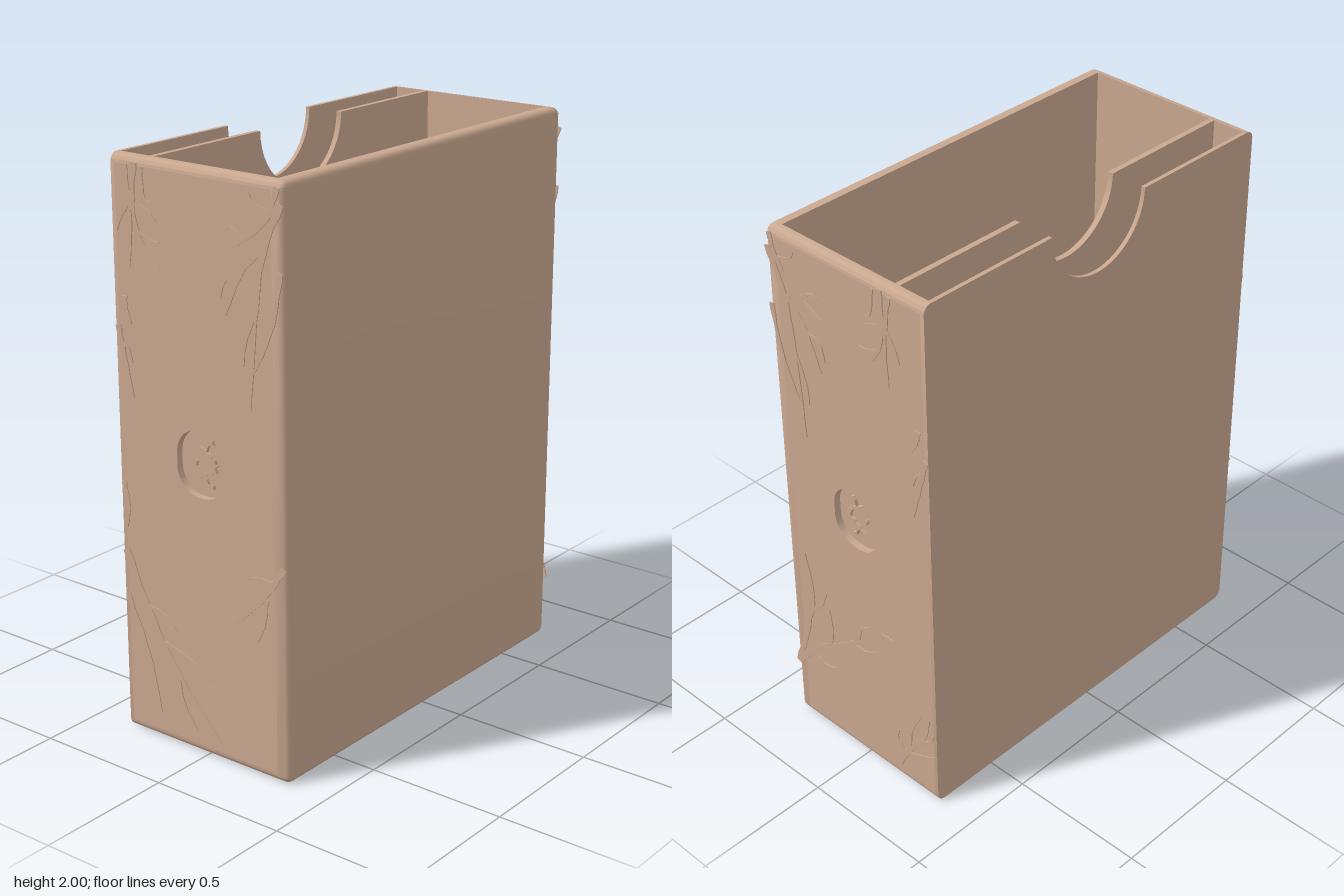
import * as THREE from 'three';
import { mergeGeometries, toCreasedNormals } from 'three/addons/utils/BufferGeometryUtils.js';

const W = 0.76, H = 2, ZF = 0.35, ZB = -0.35;   // outer half width, height, front, back
const IX = 0.725, FLOOR = 0.035, R = 0.03;      // inner half width, floor thickness, edge radius
const NOTCH = 0.215;                            // thumb notch radius

function roundedRect(x0, y0, x1, y1, r, path = new THREE.Shape()) {
  path.moveTo(x0 + r, y0);
  path.lineTo(x1 - r, y0).absarc(x1 - r, y0 + r, r, -Math.PI / 2, 0, false);
  path.lineTo(x1, y1 - r).absarc(x1 - r, y1 - r, r, 0, Math.PI / 2, false);
  path.lineTo(x0 + r, y1).absarc(x0 + r, y1 - r, r, Math.PI / 2, Math.PI, false);
  path.lineTo(x0, y0 + r).absarc(x0 + r, y0 + r, r, Math.PI, Math.PI * 1.5, false);
  return path;
}

// Upright panel with a half-round thumb notch in its top edge
function notchedPanel(halfW, y0, r) {
  const s = new THREE.Shape();
  s.moveTo(-halfW + r, y0);
  s.lineTo(halfW - r, y0);
  if (r) s.absarc(halfW - r, y0 + r, r, -Math.PI / 2, 0, false);
  s.lineTo(halfW, H - r);
  if (r) s.absarc(halfW - r, H - r, r, 0, Math.PI / 2, false);
  s.lineTo(NOTCH, H).absarc(0, H, NOTCH, 0, -Math.PI, true);
  s.lineTo(-halfW + r, H);
  if (r) s.absarc(-halfW + r, H - r, r, Math.PI / 2, Math.PI, false);
  s.lineTo(-halfW, y0 + r);
  if (r) s.absarc(-halfW + r, y0 + r, r, Math.PI, Math.PI * 1.5, false);
  return s;
}

const extrude = (shape, depth, curveSegments = 24) =>
  new THREE.ExtrudeGeometry(shape, { depth, bevelEnabled: false, curveSegments });
const smooth = (g) => toCreasedNormals(g, 0.6);

// Tapered twig outline along a curve; points are [z, y], dir flips z for the side
function twig(points, width, dir) {
  const curve = new THREE.SplineCurve(points.map(([z, y]) => new THREE.Vector2(-dir * z, y)));
  const left = [], right = [], n = 12;
  for (let i = 0; i <= n; i++) {
    const t = i / n, p = curve.getPoint(t), d = curve.getTangent(t);
    const w = width * (1 - 0.85 * t) * (1 + 0.25 * Math.sin(i * 2.1)) / 2;
    left.push(new THREE.Vector2(p.x - d.y * w, p.y + d.x * w));
    right.unshift(new THREE.Vector2(p.x + d.y * w, p.y - d.x * w));
  }
  return extrude(new THREE.Shape([...left, ...right]), 0.004);
}

// Twigs as [width, ...points]
const upperFront = [
  [0.03, [0.34, 1.93], [0.27, 1.76], [0.24, 1.55], [0.215, 1.26]],
  [0.02, [0.33, 1.98], [0.29, 1.88], [0.2, 1.8], [0.1, 1.75]],
  [0.02, [0.27, 1.78], [0.19, 1.7], [0.12, 1.55]],
  [0.02, [0.34, 1.72], [0.31, 1.56], [0.25, 1.42], [0.22, 1.38]],
  [0.014, [0.25, 1.6], [0.2, 1.48], [0.19, 1.4]],
  [0.014, [0.2, 1.8], [0.15, 1.83], [0.12, 1.82]],
  [0.012, [0.3, 1.9], [0.24, 1.92], [0.22, 1.95]],
  [0.012, [0.18, 1.68], [0.12, 1.66], [0.1, 1.6]],
];
const upperBack = [
  [0.024, [-0.16, 1.98], [-0.17, 1.85], [-0.14, 1.74], [-0.06, 1.66]],
  [0.02, [-0.2, 1.97], [-0.18, 1.8], [-0.19, 1.64]],
  [0.014, [-0.17, 1.87], [-0.22, 1.8], [-0.24, 1.75]],
  [0.014, [-0.16, 1.85], [-0.1, 1.83], [-0.07, 1.8]],
  [0.012, [-0.13, 1.97], [-0.12, 1.88], [-0.09, 1.86]],
  [0.012, [-0.15, 1.76], [-0.1, 1.74], [-0.06, 1.74]],
];
const midBack = [
  [0.022, [-0.34, 1.44], [-0.31, 1.32], [-0.28, 1.2]],
  [0.014, [-0.33, 1.38], [-0.3, 1.37], [-0.28, 1.32]],
  [0.024, [-0.31, 1.54], [-0.3, 1.49], [-0.28, 1.45]],
];
const lowerLong = [
  [0.03, [0.34, 0.22], [0.28, 0.42], [0.24, 0.58], [0.27, 0.75]],
  [0.03, [0.34, 0.24], [0.2, 0.37], [0.02, 0.5], [-0.15, 0.69]],
  [0.018, [0.26, 0.5], [0.2, 0.56], [0.17, 0.63]],
  [0.016, [0.17, 0.39], [0.15, 0.47], [0.16, 0.56]],
  [0.016, [0.26, 0.32], [0.2, 0.29], [0.14, 0.31]],
  [0.014, [0.06, 0.48], [-0.02, 0.48], [-0.08, 0.52]],
  [0.014, [0.02, 0.5], [0, 0.57], [-0.04, 0.6]],
  [0.018, [-0.1, 0.6], [-0.13, 0.61], [-0.16, 0.61]],
];
const lowerBack = [
  [0.026, [-0.15, 0.04], [-0.22, 0.16], [-0.29, 0.25], [-0.32, 0.36]],
  [0.016, [-0.22, 0.16], [-0.23, 0.25], [-0.28, 0.35]],
  [0.016, [-0.2, 0.13], [-0.16, 0.18], [-0.17, 0.22]],
  [0.016, [-0.22, 0.14], [-0.29, 0.17], [-0.34, 0.2]],
  [0.012, [-0.28, 0.24], [-0.32, 0.26], [-0.34, 0.3]],
];
const lowerDiagonal = [
  [0.03, [-0.34, 0.66], [-0.22, 0.42], [-0.08, 0.22], [0.08, 0.05]],
  [0.02, [-0.34, 0.5], [-0.25, 0.3], [-0.2, 0.1]],
  [0.016, [-0.18, 0.36], [-0.06, 0.33], [0.02, 0.28]],
  [0.016, [-0.12, 0.27], [-0.1, 0.17], [-0.04, 0.08]],
  [0.016, [-0.26, 0.48], [-0.17, 0.46], [-0.12, 0.42]],
  [0.02, [-0.34, 0.9], [-0.32, 0.82], [-0.33, 0.74]],
];
const lowerFront = [
  [0.024, [0.34, 0.76], [0.26, 0.64], [0.14, 0.52]],
  [0.016, [0.3, 0.7], [0.22, 0.7], [0.16, 0.67]],
  [0.016, [0.27, 0.64], [0.26, 0.55], [0.23, 0.48]],
];
const emblemTwigs = [
  [0.02, [0.05, 1.02], [0.01, 1.0], [-0.04, 0.97]],
  [0.018, [0.05, 1.03], [0.03, 1.06], [-0.02, 1.09]],
  [0.014, [0.04, 1.11], [0.02, 1.1], [0.01, 1.07]],
  [0.014, [0.04, 0.96], [0.02, 0.96], [0.01, 0.98]],
  [0.012, [-0.03, 1.04], [-0.035, 1.03], [-0.03, 1.02]],
];

export function createModel() {
  const group = new THREE.Group();
  const tan = new THREE.MeshStandardMaterial({ color: 0xc9a78f });
  tan.name = 'tan';
  const add = (name, geometry, x = 0, y = 0, z = 0) => {
    const mesh = new THREE.Mesh(geometry, tan);
    mesh.name = name;
    mesh.position.set(x, y, z);
    group.add(mesh);
  };

  // Front panel: rounded toward the front, flat on its inner face
  const b = 0.022;
  const front = new THREE.ExtrudeGeometry(roundedRect(-W, 0, W, H, R), {
    depth: 0.045 - b, bevelThickness: b, bevelSize: b, bevelOffset: -b, bevelSegments: 5, curveSegments: 8,
  });
  const pos = front.attributes.position;
  for (let i = 0; i < pos.count; i++) pos.setZ(i, Math.max(0, pos.getZ(i)));
  add('frontPanel', smooth(front), 0, 0, ZF - 0.045);

  // Back panel and divider, both notched
  add('backPanel', smooth(extrude(notchedPanel(W, 0, R), 0.015)), 0, 0, ZB);
  add('divider', smooth(extrude(notchedPanel(IX, FLOOR, 0), 0.02)), 0, 0, -0.215);

  // Floor with an oval push hole
  const z0 = ZB + 0.015, z1 = ZF - 0.045, depth = z1 - z0, zMid = (z0 + z1) / 2;
  const floor = new THREE.Shape([[-IX, -z1], [IX, -z1], [IX, -z0], [-IX, -z0]].map((p) => new THREE.Vector2(...p)));
  floor.holes.push(new THREE.Path().absellipse(0, -0.055, NOTCH, 0.125, 0, Math.PI * 2, true));
  add('floor', smooth(extrude(floor, FLOOR, 48).rotateX(-Math.PI / 2)));

  for (const dir of [1, -1]) {
    const side = dir > 0 ? 'left' : 'right';
    const turn = dir * Math.PI / 2;

    // Side wall: outer layer with an oval recess over a thin inner layer
    const a0 = Math.min(-dir * z0, -dir * z1);
    const wall = new THREE.Shape();
    wall.moveTo(a0, R);
    wall.lineTo(a0 + depth, R).lineTo(a0 + depth, H - R).lineTo(a0, H - R);
    wall.holes.push(roundedRect(-0.1, 0.92, 0.1, 1.145, 0.09, new THREE.Path()));
    add(side + 'Wall', smooth(extrude(wall, 0.025, 12).rotateY(turn)), dir * (W - 0.025));
    add(side + 'WallLining', new THREE.BoxGeometry(0.01, H - 2 * R, depth), dir * (IX + 0.005), H / 2, zMid);

    // Rounded long edges at the bottom and top of the wall
    for (const top of [false, true]) {
      const edge = new THREE.Shape();
      edge.moveTo(IX, 0);
      edge.lineTo(W - R, 0).absarc(W - R, R, R, -Math.PI / 2, 0, false).lineTo(IX, R);
      const g = extrude(edge, depth, 8).translate(0, 0, -depth / 2);
      if (top) g.rotateX(Math.PI);
      if (dir < 0) g.rotateY(Math.PI);
      add(side + (top ? 'TopEdge' : 'BottomEdge'), smooth(g), 0, top ? H : 0, zMid);
    }

    // Branch relief on the wall and a small twig in the recess
    const branches = dir > 0
      ? [...upperFront, ...upperBack, ...midBack, ...lowerLong, ...lowerBack]
      : [...upperFront, ...upperBack.map(([w, ...p]) => [w, ...p.map(([z, y]) => [z - 0.09, y])]),
        ...midBack, ...lowerDiagonal, ...lowerFront];
    const relief = (list) => mergeGeometries(list.map(([w, ...p]) => twig(p, w, dir))).rotateY(turn);
    add(side + 'Branches', relief(branches), dir * (W - 0.0005));
    add(side + 'RecessTwig', relief(emblemTwigs).scale(3, 1, 1), dir * (W - 0.0255));
  }
  return group;
}
